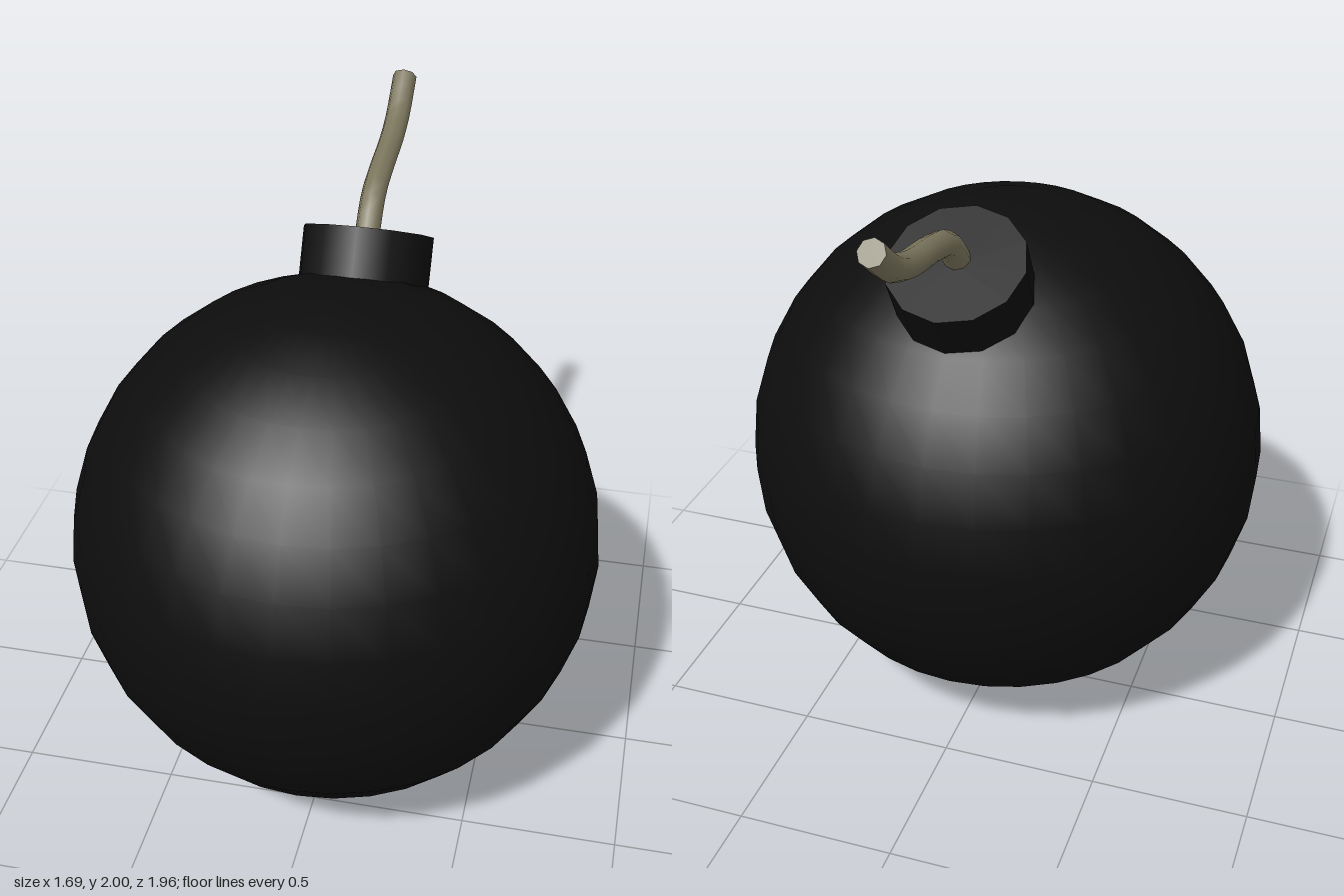
import * as THREE from 'three';

const SPHERE_RADIUS = 0.843;
const SPHERE_CENTER = new THREE.Vector3(0, SPHERE_RADIUS, 0.14);
const FUSE_RADIUS = 0.04;

function part(name, geometry, material) {
  const mesh = new THREE.Mesh(geometry, material);
  mesh.name = name;
  return mesh;
}

export function createModel() {
  const model = new THREE.Group();
  model.name = 'bomb';
  const black = new THREE.MeshStandardMaterial({ color: 0x0d0d0d });
  const khaki = new THREE.MeshStandardMaterial({ color: 0x7d775e });

  // Round body
  const body = part('body', new THREE.SphereGeometry(SPHERE_RADIUS, 32, 16), black);
  body.position.copy(SPHERE_CENTER);
  model.add(body);

  // Twelve-sided neck, tilted back 30 degrees and sunk into the body
  const tilt = -Math.PI / 6;
  const axis = new THREE.Vector3(0, Math.cos(tilt), Math.sin(tilt));
  const neck = part('neck', new THREE.CylinderGeometry(0.211, 0.211, 0.19, 12), black);
  neck.position.copy(SPHERE_CENTER).addScaledVector(axis, 0.875);
  neck.rotation.x = tilt;
  model.add(neck);

  // Wavy fuse, starting inside the neck
  const path = new THREE.CatmullRomCurve3([
    [1.65, -0.30], [1.70, -0.34], [1.775, -0.42], [1.81, -0.54],
    [1.84, -0.72], [1.88, -0.83], [1.972, -0.951],
  ].map(([y, z]) => new THREE.Vector3(0, y, z)));
  const fuse = new THREE.Group();
  fuse.name = 'fuse';
  fuse.add(part('fuseCord', new THREE.TubeGeometry(path, 14, FUSE_RADIUS, 8), khaki));

  // Flat cut end of the fuse
  const tip = part('fuseTip', new THREE.CircleGeometry(FUSE_RADIUS, 8), khaki);
  tip.position.copy(path.getPoint(1));
  tip.quaternion.setFromUnitVectors(new THREE.Vector3(0, 0, 1), path.getTangent(1));
  fuse.add(tip);
  model.add(fuse);

  return model;
}
